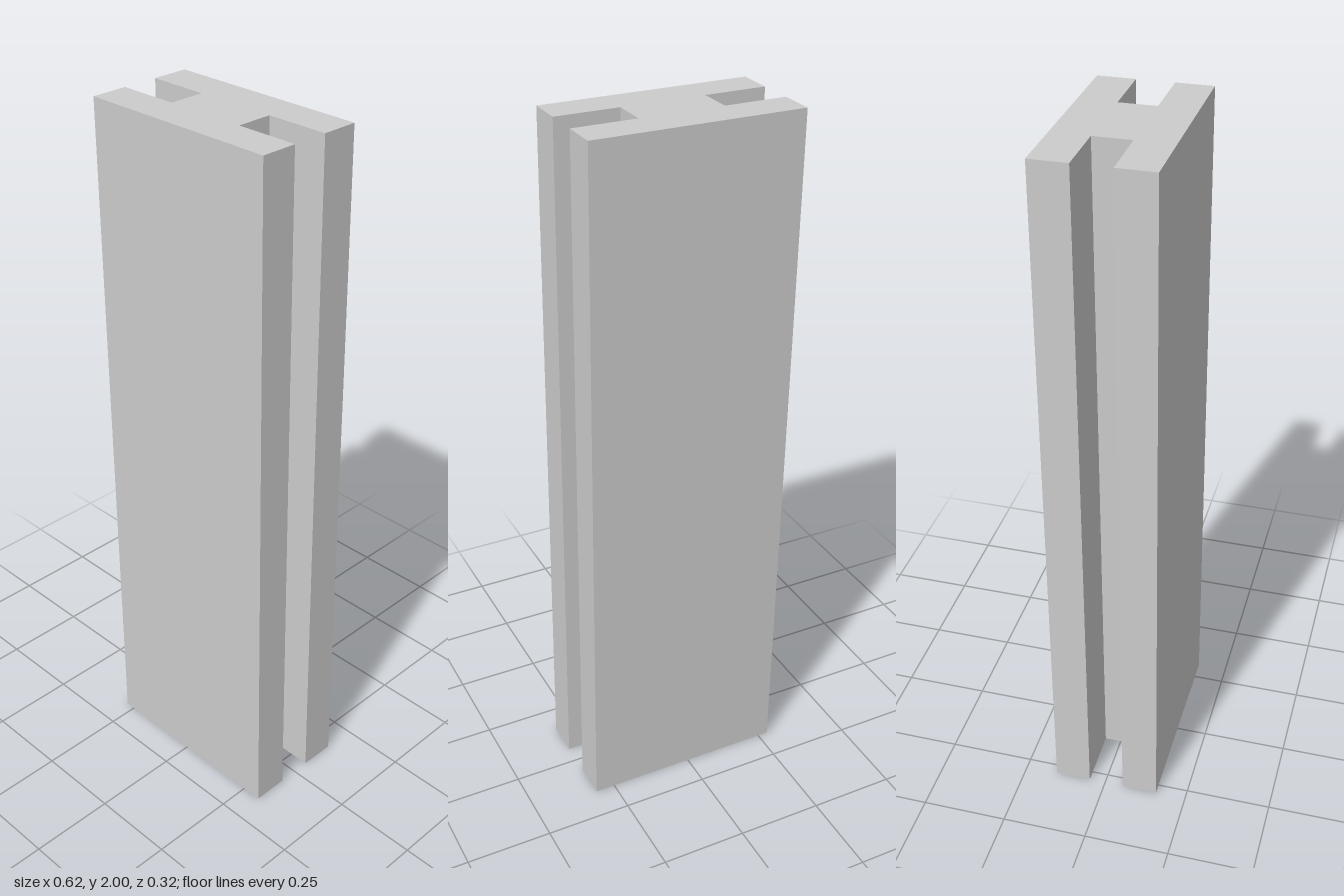
import * as THREE from 'three';

export function createModel() {
  const group = new THREE.Group();
  const height = 2;
  const flangeX = 0.295, webX = 0.118; // half widths
  const flangeZ = 0.157, grooveZ = 0.052; // half depths

  // H-shaped cross-section: two flanges joined by a web
  const section = new THREE.Shape([
    [-flangeX, -flangeZ], [flangeX, -flangeZ], [flangeX, -grooveZ], [webX, -grooveZ],
    [webX, grooveZ], [flangeX, grooveZ], [flangeX, flangeZ], [-flangeX, flangeZ],
    [-flangeX, grooveZ], [-webX, grooveZ], [-webX, -grooveZ], [-flangeX, -grooveZ],
  ].map(([x, y]) => new THREE.Vector2(x, y)));

  const geometry = new THREE.ExtrudeGeometry(section, { depth: height, bevelEnabled: false });
  geometry.rotateX(-Math.PI / 2);

  // Lean the post slightly to the right side and back, the web a touch more
  const p = geometry.attributes.position;
  for (let i = 0; i < p.count; i++) {
    const t = p.getY(i) / height;
    const isWeb = Math.abs(p.getX(i)) < 0.2;
    const dx = isWeb ? 0.016 - 0.034 * t : 0.0135 - 0.0285 * t;
    p.setX(i, p.getX(i) + dx);
    p.setZ(i, p.getZ(i) + 0.003 - 0.008 * t);
  }
  geometry.computeVertexNormals();

  const post = new THREE.Mesh(
    geometry,
    new THREE.MeshStandardMaterial({ color: 0xcccccc, flatShading: true })
  );
  post.name = 'groovedPost';
  group.add(post);
  return group;
}
